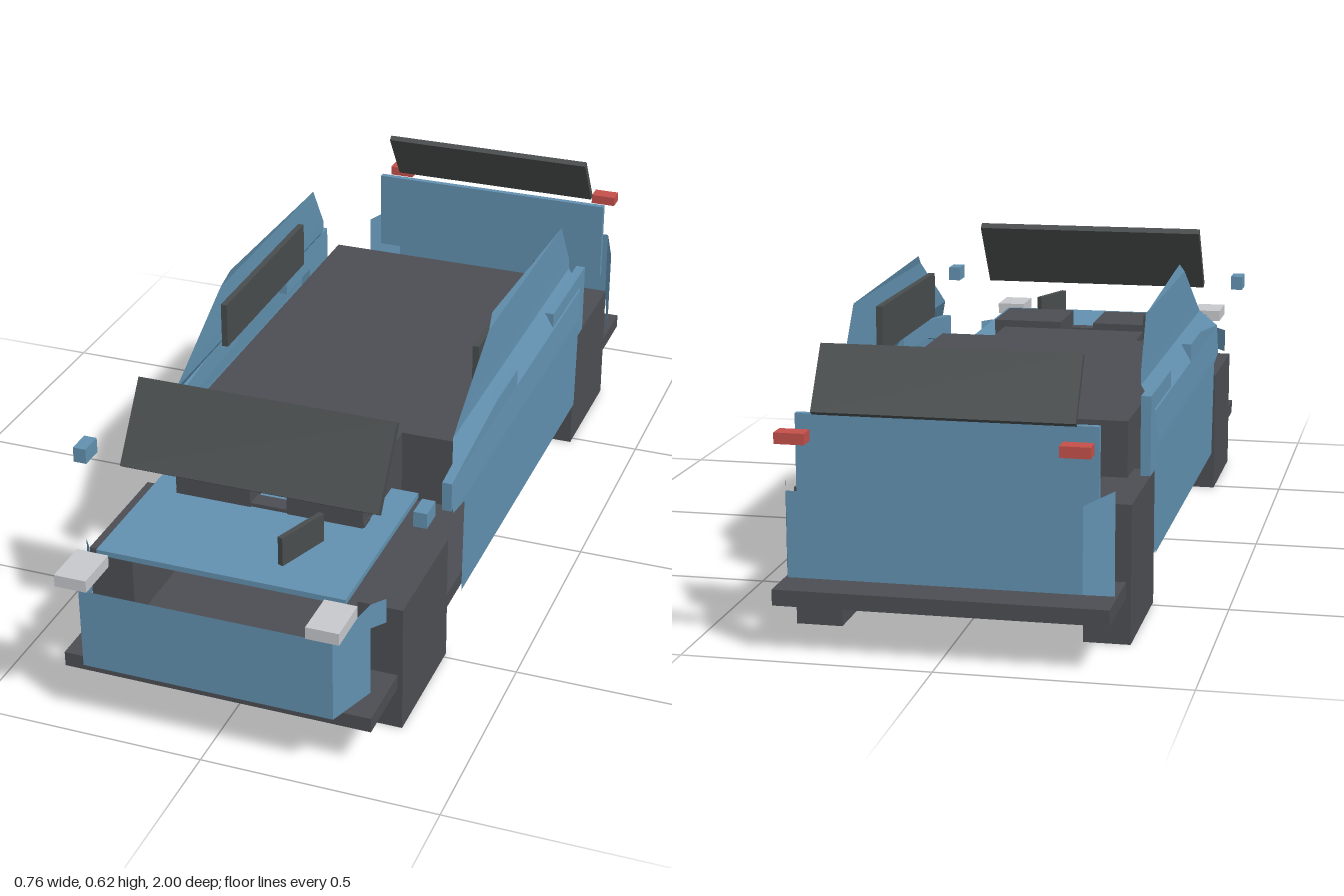
import * as THREE from 'three';

export function createModel() {
  const car = new THREE.Group();
  car.name = 'car';
  const mat = (name, color) => {
    const m = new THREE.MeshStandardMaterial({ color });
    m.name = name;
    return m;
  };
  const blue = mat('bodyBlue', 0x6291b0);
  const dark = mat('darkGrey', 0x4c4e53);
  const glass = mat('glassGrey', 0x484c4c);
  const white = mat('lampWhite', 0xc6c8cb);
  const red = mat('lampRed', 0xc4504a);
  blue.side = THREE.DoubleSide;

  const add = (name, geo, material) => {
    const mesh = new THREE.Mesh(geo, material);
    mesh.name = name;
    car.add(mesh);
    return mesh;
  };
  // Box given by its extents
  const box = (name, material, x0, x1, y0, y1, z0, z1) => {
    const m = add(name, new THREE.BoxGeometry(x1 - x0, y1 - y0, z1 - z0), material);
    m.position.set((x0 + x1) / 2, (y0 + y1) / 2, (z0 + z1) / 2);
    return m;
  };
  const pair = (name, material, x0, x1, ...rest) => {
    box('left' + name, material, x0, x1, ...rest);
    box('right' + name, material, -x1, -x0, ...rest);
  };
  // Open flat-shaded sheet spanning two rows of points
  const sheet = (name, a, b) => {
    const pos = [];
    for (let i = 0; i < a.length - 1; i++) {
      pos.push(...a[i], ...b[i], ...a[i + 1], ...a[i + 1], ...b[i], ...b[i + 1]);
    }
    const g = new THREE.BufferGeometry();
    g.setAttribute('position', new THREE.Float32BufferAttribute(pos, 3));
    g.computeVertexNormals();
    return add(name, g, blue);
  };
  // Upright plate drawn in (z, y), with thickness from x0 to x1
  const sidePlate = (name, pts, x0, x1) => {
    const shape = new THREE.Shape(pts.map(([z, y]) => new THREE.Vector2(-z, y)));
    const g = new THREE.ExtrudeGeometry(shape, { depth: x1 - x0, bevelEnabled: false });
    g.rotateY(Math.PI / 2);
    g.translate(x0, 0, 0);
    return add(name, g, blue);
  };

  // Chassis
  box('floor', dark, -0.33, 0.33, 0.095, 0.127, -0.95, 0.92);
  box('underbody', dark, -0.207, 0.207, 0.06, 0.095, -0.435, 0.435);
  pair('FrontWheel', dark, 0.245, 0.34, 0, 0.283, 0.485, 0.765);
  pair('RearWheel', dark, 0.245, 0.34, 0, 0.283, -0.765, -0.48);

  // Cabin block and the boxes in front of it
  box('cabin', dark, -0.297, 0.297, 0.24, 0.4, -0.558, 0.29);
  box('cabinNose', dark, -0.173, 0.17, 0.24, 0.4, 0.29, 0.405);
  pair('Seat', dark, 0.04, 0.205, 0.24, 0.407, 0.455, 0.625);
  box('seatBridge', dark, -0.207, 0.207, 0.24, 0.37, 0.585, 0.622);
  const lever = box('steeringPlate', glass, -0.006, 0.006, 0.305, 0.425, -0.0615, 0.0615);
  lever.position.set(0.1215, 0.365, 0.75);
  lever.rotation.y = -0.35;

  // Bonnet, tail panel, tilted screens
  box('bonnet', blue, -0.264, 0.264, 0.35, 0.362, 0.455, 0.88);
  box('tailPanel', blue, -0.297, 0.297, 0.27, 0.462, -0.883, -0.869);
  const windscreen = box('windscreen', glass, -0.277, 0.277, 0, 0.184, 0, 0.018);
  windscreen.position.set(0, 0.541, 0.672);
  windscreen.rotation.x = -0.61;
  const rearScreen = box('rearScreen', glass, -0.257, 0.257, 0, 0.142, 0, 0.014);
  rearScreen.position.set(0, 0.528, -0.868);
  rearScreen.rotation.x = 0.57;

  // Wrap-around bumpers
  const mirrorRow = (row) => [...row, ...row.slice().reverse().map(([x, y, z]) => [-x, y, z])];
  sheet('frontBumper',
    mirrorRow([[0.3, 0.335, 0.84], [0.267, 0.315, 0.96]]),
    mirrorRow([[0.3, 0.128, 0.84], [0.267, 0.137, 0.96]]));
  sheet('rearBumper',
    mirrorRow([[0.325, 0.335, -0.865], [0.285, 0.335, -0.985]]),
    mirrorRow([[0.325, 0.128, -0.865], [0.285, 0.165, -0.985]]));

  // Lamps and mirrors
  pair('Headlamp', white, 0.228, 0.296, 0.342, 0.368, 0.9, 1);
  pair('TailLamp', red, 0.243, 0.302, 0.428, 0.45, -1, -0.962);
  pair('Mirror', blue, 0.35, 0.378, 0.463, 0.496, 0.685, 0.737);

  // Side rows: height, half width, front z, back z
  const rows = [
    [0.107, 0.344, 0.4, -0.48], [0.33, 0.347, 0.4, -0.48], [0.342, 0.347, 0.475, -0.485],
    [0.41, 0.343, 0.475, -0.495], [0.462, 0.313, 0.38, -0.495], [0.488, 0.312, 0.332, -0.495],
    [0.595, 0.31, 0.135, -0.425], [0.617, 0.304, 0.095, 0.085],
  ];
  for (const s of [1, -1]) {
    const side = s > 0 ? 'left' : 'right';
    sheet(side + 'BodySide',
      rows.map(([y, x, front]) => [s * x, y, front]),
      rows.map(([y, x, , back]) => [s * x, y, back]));
    const span = (a, b) => (s > 0 ? [a, b] : [-b, -a]);
    sidePlate(side + 'FrontWing',
      [[0.475, 0.345], [0.25, 0.395], [0.02, 0.405], [0.02, 0.449], [0.17, 0.449], [0.475, 0.41]],
      ...span(0.322, 0.343));
    sidePlate(side + 'RearQuarter',
      [[-0.27, 0.39], [-0.42, 0.39], [-0.42, 0.225], [-0.375, 0.225], [-0.375, 0.107],
        [-0.48, 0.107], [-0.48, 0.284], [-0.54, 0.284], [-0.54, 0.449], [-0.27, 0.449]],
      ...span(0.32, 0.341));
    sheet(side + 'FrontArch',
      [[s * 0.3, 0.335, 0.84], [s * 0.322, 0.335, 0.81]],
      [[s * 0.3, 0.28, 0.84], [s * 0.322, 0.28, 0.81]]);
  }
  pair('SideWindow', glass, 0.284, 0.298, 0.465, 0.567, -0.295, 0.165);

  return car;
}
